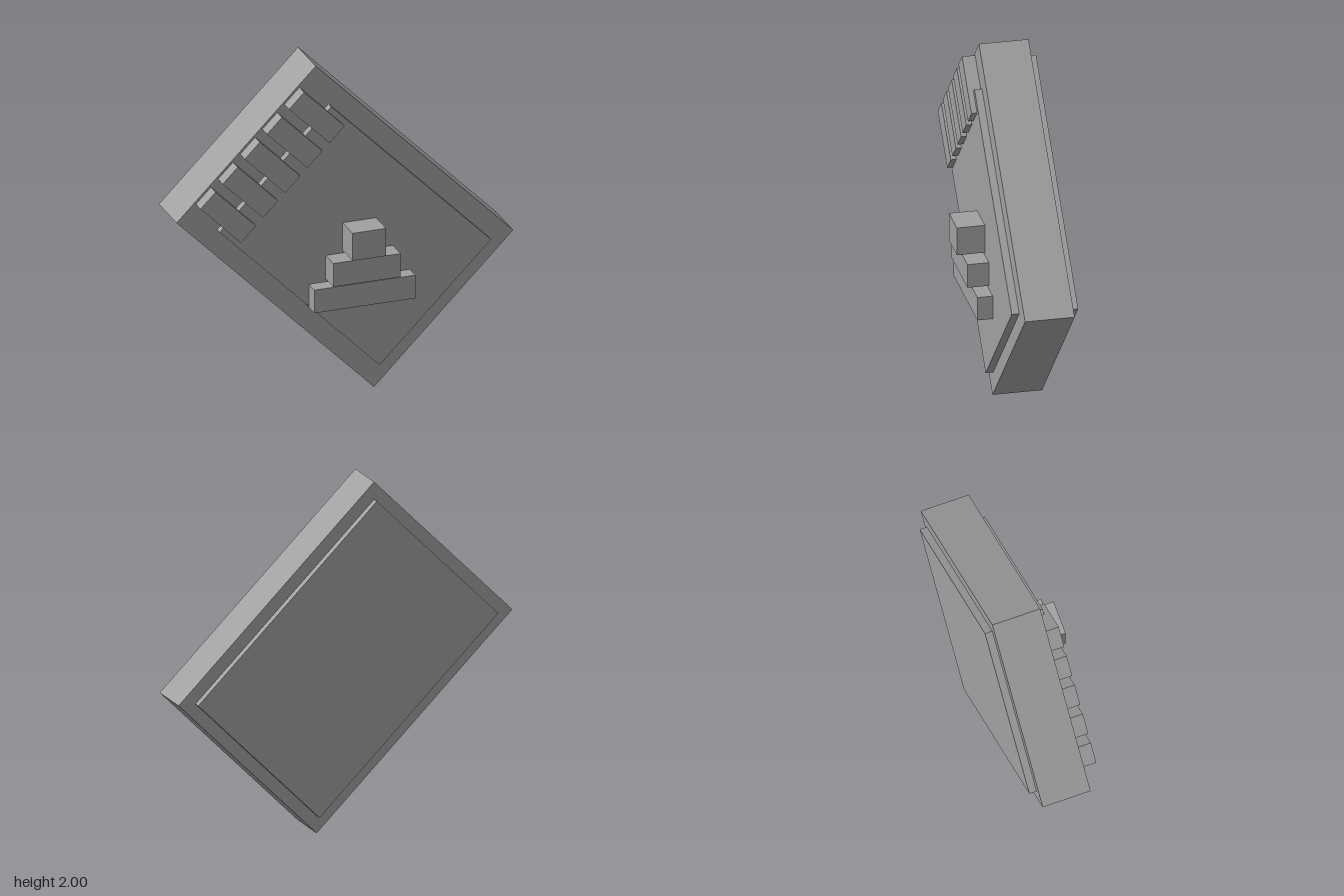
import * as THREE from 'three';

export function createModel() {
  const model = new THREE.Group();
  model.name = 'tiltedCard';
  const grey = new THREE.MeshStandardMaterial({ color: 0xa0a0a0 });
  grey.name = 'grey';

  // box centred on (x, y), spanning z0 to z1
  const block = (parent, name, w, h, x, y, z0, z1) => {
    const mesh = new THREE.Mesh(new THREE.BoxGeometry(w, h, z1 - z0), grey);
    mesh.position.set(x, y, (z0 + z1) / 2);
    mesh.name = name;
    parent.add(mesh);
  };

  // slab standing on one corner
  const slab = new THREE.Group();
  slab.name = 'slab';
  slab.position.y = 1;
  slab.rotation.z = Math.PI / 4;
  model.add(slab);
  block(slab, 'body', 1.17, 1.658, 0, 0, -0.222, 0.061);
  block(slab, 'frontPanel', 0.937, 1.343, 0, -0.066, 0.05, 0.104);
  block(slab, 'backPanel', 1.028, 1.515, 0, 0, -0.265, -0.2);

  // row of contact strips along the upper left edge
  for (let i = -2; i <= 2; i++) {
    block(slab, 'contactStrip', 0.127, 0.34, i * 0.186, 0.647, 0.05, 0.136);
  }

  // level stepped pyramid on the front panel
  const steps = new THREE.Group();
  steps.name = 'steps';
  model.add(steps);
  block(steps, 'bottomStep', 0.6, 0.14, 0.07, 0.632, 0.06, 0.192);
  block(steps, 'middleStep', 0.4, 0.142, 0.07, 0.791, 0.06, 0.226);
  block(steps, 'topStep', 0.2, 0.167, 0.07, 0.962, 0.06, 0.264);

  return model;
}
